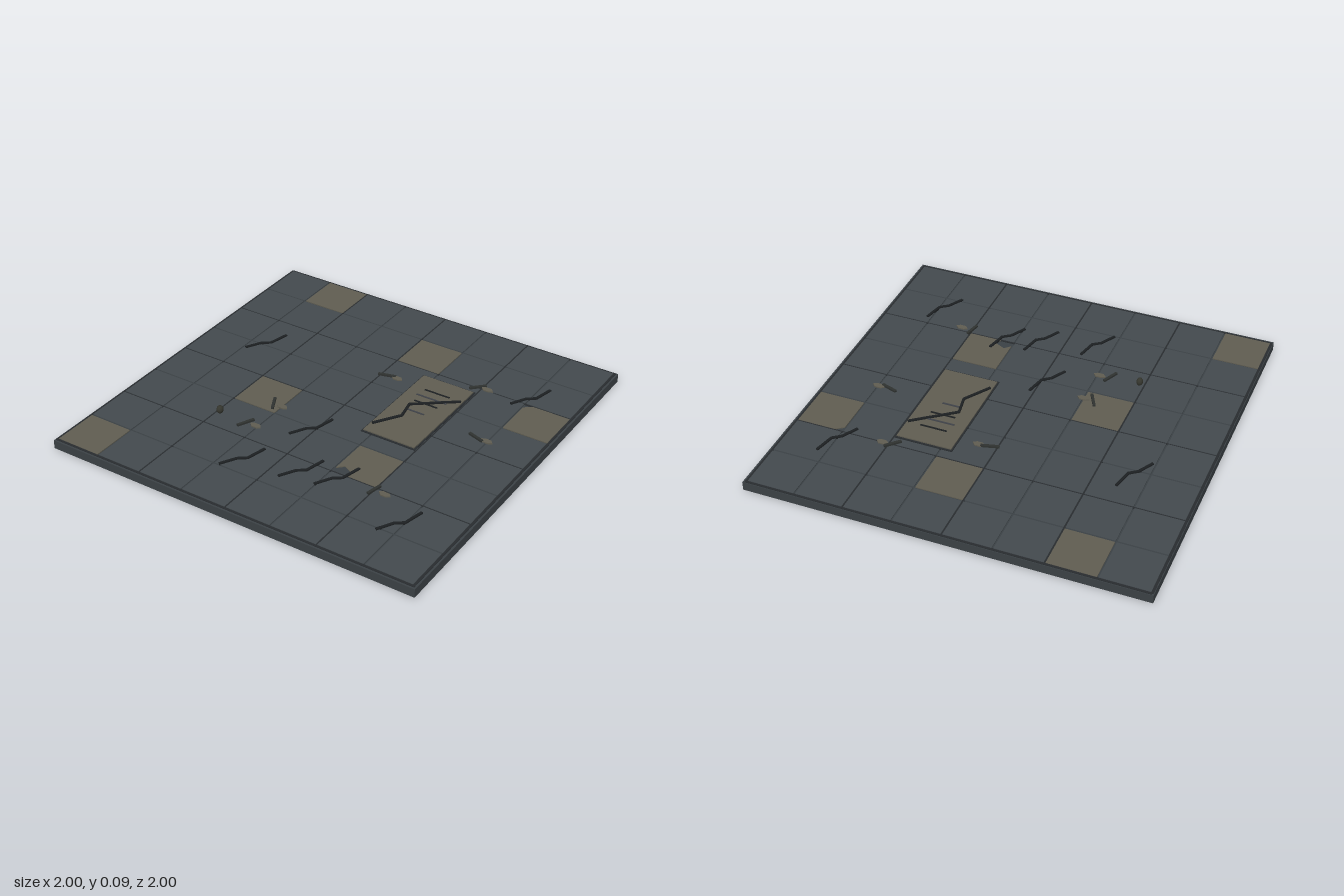
import * as THREE from 'three';

const mat = (name, color, double) => {
  const m = new THREE.MeshStandardMaterial({ color });
  m.name = name;
  if (double) m.side = THREE.DoubleSide;
  return m;
};

export function createModel() {
  const root = new THREE.Group();
  root.name = 'crackedFloor';
  const slabMat = mat('slab grey', 0x3b4145);
  const tileMat = mat('slate tile', 0x434a4e);
  const tanMat = mat('worn tan stone', 0x605d51);
  const seamMat = mat('dark seam', 0x282c2f);
  const crackMat = mat('crack black', 0x1d2022);
  const inkMat = mat('faded engraving', 0x3f4248);
  const twigMat = mat('splinter grey', 0x2f3230);
  const pebbleMat = mat('pebble olive', 0x35362e);

  const add = (name, geo, material, parent = root) => {
    const mesh = new THREE.Mesh(geo, material);
    mesh.name = name;
    parent.add(mesh);
    return mesh;
  };
  const box = (name, w, h, d, x, y, z, material, parent) => {
    const mesh = add(name, new THREE.BoxGeometry(w, h, d), material, parent);
    mesh.position.set(x, y, z);
    return mesh;
  };
  // Flat polygon of [x, z] corners raised between two heights
  const plate = (name, pts, y0, y1, material, parent) => {
    const shape = new THREE.Shape(pts.map(([x, z]) => new THREE.Vector2(x, -z)));
    const geo = new THREE.ExtrudeGeometry(shape, { depth: y1 - y0, bevelEnabled: false });
    geo.rotateX(-Math.PI / 2).translate(0, y0, 0);
    return add(name, geo, material, parent);
  };
  // Thin bars joined along a path of [x, z] points
  const strip = (name, pts, width, y0, y1, material, parent = root) => {
    const g = new THREE.Group();
    g.name = name;
    parent.add(g);
    for (let i = 0; i < pts.length - 1; i++) {
      const [ax, az] = pts[i], [bx, bz] = pts[i + 1];
      const bar = box(name + 'Segment', Math.hypot(bx - ax, bz - az) + width * 0.3, y1 - y0, width,
        (ax + bx) / 2, (y0 + y1) / 2, (az + bz) / 2, material, g);
      bar.rotation.y = -Math.atan2(bz - az, bx - ax);
    }
    return g;
  };

  // Base slab
  box('slab', 2, 0.045, 2, 0, 0.0225, 0, slabMat);

  // Eight by eight tiles, a few of them tan and two of those chipped
  const tan = new Set(['1,0', '4,1', '7,2', '2,4', '5,5', '0,7']);
  const tiles = new THREE.Group();
  tiles.name = 'tiles';
  root.add(tiles);
  const pitch = 0.2465, half = 0.119;
  for (let i = 0; i < 8; i++) {
    for (let j = 0; j < 8; j++) {
      const key = `${i},${j}`;
      const x = (i - 3.5) * pitch - 0.003, z = (j - 3.5) * pitch - 0.003;
      const l = x - half, r = x + half, t = z - half, b = z + half;
      let pts = [[l, t], [l, b], [r, b], [r, t]];
      if (key === '7,2') pts = [[l, t + 0.03], [l, b], [r, b], [r, t], [l + 0.04, t]];
      if (key === '5,5') pts = [[l, t], [l, b - 0.03], [l + 0.03, b - 0.06], [l + 0.09, b - 0.03], [l + 0.07, b], [r, b], [r, t]];
      plate(tan.has(key) ? 'tanTile' : 'tile', pts, 0.04, 0.05, tan.has(key) ? tanMat : tileMat, tiles);
    }
  }

  // Wide seams between the two by two panels and around the rim
  const seams = new THREE.Group();
  seams.name = 'seams';
  root.add(seams);
  for (const c of [-0.99, -0.497, -0.004, 0.49, 0.984]) {
    box('seamAlongZ', 0.013, 0.004, 1.98, c, 0.0455, 0, seamMat, seams);
    box('seamAlongX', 1.98, 0.004, 0.013, 0, 0.0455, c, seamMat, seams);
  }

  // Raised plaque with a shadow border, engraving and a large crack
  const plaque = new THREE.Group();
  plaque.name = 'plaque';
  root.add(plaque);
  box('plaqueBorder', 0.3, 0.012, 0.59, 0.335, 0.048, -0.15, seamMat, plaque);
  box('plaqueFace', 0.285, 0.018, 0.57, 0.335, 0.051, -0.15, tanMat, plaque);
  for (const [x0, x1, z, m] of [[0.265, 0.405, -0.322, crackMat], [0.25, 0.42, -0.265, inkMat],
    [0.27, 0.4, -0.211, crackMat], [0.28, 0.375, -0.126, inkMat]]) {
    box('engraving', x1 - x0, 0.004, 0.009, (x0 + x1) / 2, 0.061, z, m, plaque);
  }
  strip('plaqueCrack', [[0.47, -0.32], [0.27, -0.165], [0.29, -0.06], [0.205, 0.07]], 0.012, 0.058, 0.068, crackMat, plaque);

  // Repeated zigzag cracks on the floor
  for (const [x, z] of [[0.785, -0.665], [-0.618, -0.385], [0.02, 0.14], [-0.112, 0.52],
    [0.173, 0.45], [0.346, 0.41], [0.76, 0.54]]) {
    strip('floorCrack', [[x, z], [x - 0.024, z + 0.102], [x - 0.064, z + 0.132], [x - 0.108, z + 0.21]],
      0.013, 0.046, 0.057, crackMat);
  }

  // Splinters, each with a flat tan chip beside it
  const debris = [
    [-0.32, 0.14, -0.28, 0.22, -0.25, 0.18], [-0.335, 0.43, -0.298, 0.35, -0.262, 0.385],
    [-0.01, -0.33, 0.075, -0.352, 0.088, -0.345], [0.44, -0.465, 0.5, -0.525, 0.52, -0.5],
    [0.635, -0.118, 0.715, -0.092, 0.733, -0.105], [0.483, 0.55, 0.5, 0.475, 0.55, 0.515],
  ];
  const outline = [[-0.033, -0.004], [-0.016, 0.014], [0.014, 0.015], [0.033, 0.003], [0.018, -0.014], [-0.014, -0.015]];
  for (const [ax, az, bx, bz, cx, cz] of debris) {
    strip('splinter', [[ax, az], [bx, bz]], 0.014, 0.048, 0.06, twigMat);
    plate('chip', outline.map(([x, z]) => [cx + x, cz + z]), 0.048, 0.056, tanMat);
  }

  // Small upright pebble
  const pebble = add('pebble', new THREE.IcosahedronGeometry(0.02, 1), pebbleMat);
  pebble.scale.set(0.85, 1.1, 1);
  pebble.position.set(-0.472, 0.072, 0.387);

  return root;
}
